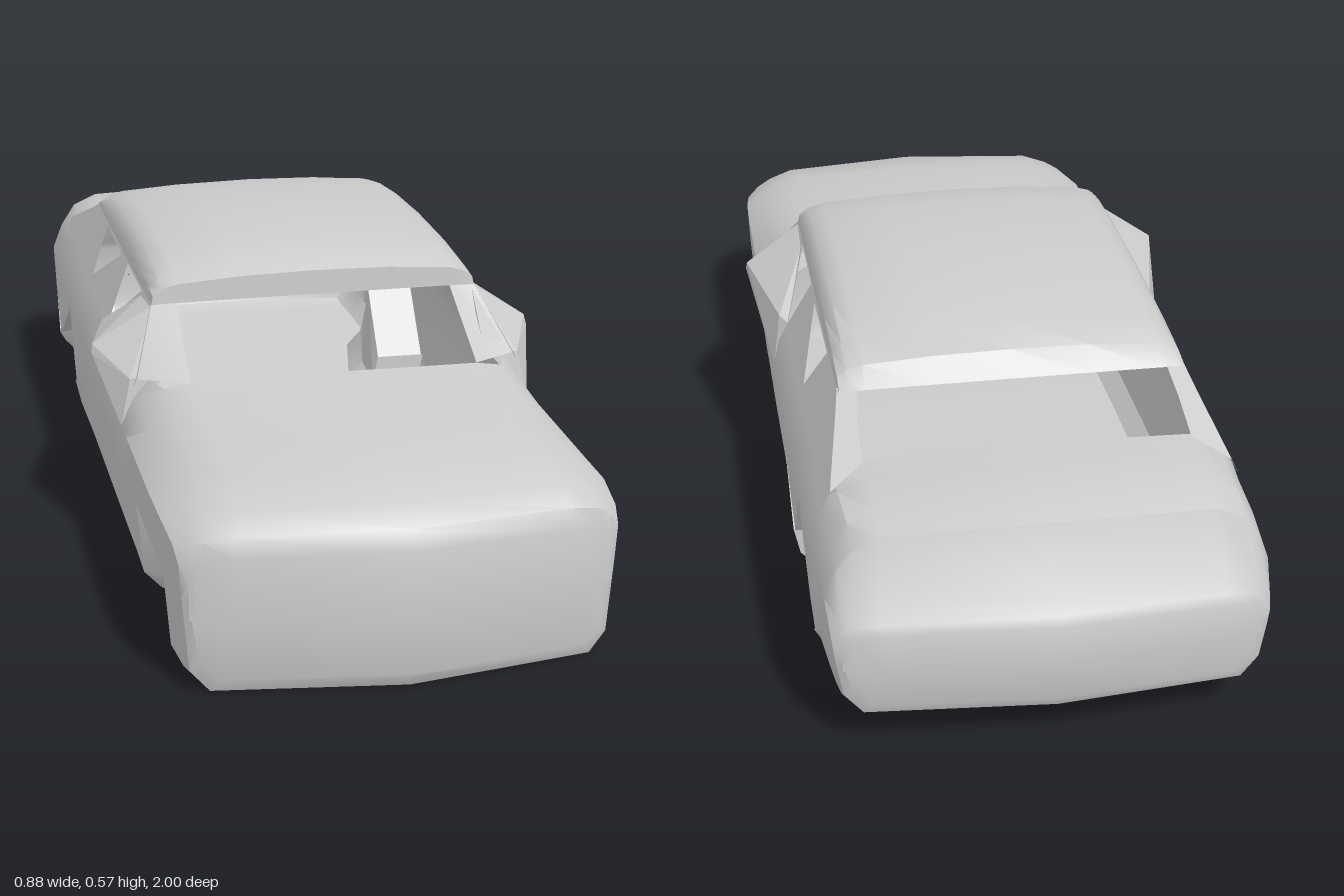
import * as THREE from 'three';
import { toCreasedNormals } from 'three/addons/utils/BufferGeometryUtils.js';
import { ConvexGeometry } from 'three/addons/geometries/ConvexGeometry.js';

const material = new THREE.MeshStandardMaterial({ color: 0xcccccc, side: THREE.DoubleSide });
const V = (x, y, z) => new THREE.Vector3(x, y, z);

function addMesh(group, name, geometry) {
  const mesh = new THREE.Mesh(geometry, material);
  mesh.name = name;
  group.add(mesh);
}

// Skin between successive cross-sections; skip(j, i) leaves a cell open
function loft(sections, closed, skip = () => false) {
  const out = [];
  const tri = (a, b, c) => {
    const area = b.clone().sub(a).cross(c.clone().sub(a)).length();
    if (area > 1e-7) for (const p of [a, b, c]) out.push(p.x, p.y, p.z);
  };
  for (let j = 0; j < sections.length - 1; j++) {
    const A = sections[j], B = sections[j + 1], n = A.length;
    for (let i = 0; i < (closed ? n : n - 1); i++) {
      if (skip(j, i)) continue;
      const k = (i + 1) % n;
      tri(A[i], B[i], B[k]);
      tri(A[i], B[k], A[k]);
    }
  }
  const g = new THREE.BufferGeometry();
  g.setAttribute('position', new THREE.Float32BufferAttribute(out, 3));
  return toCreasedNormals(g, 0.6);
}

// Each station: z, floor y, half width, shoulder y, top y, shoulder half width,
// then for wheel wells the inner half width and the ceiling height
const STATIONS = [
  [1.0, 0.03, 0.375, 0.245, 0.26, 0.35],
  [0.985, 0.005, 0.39, 0.28, 0.295, 0.35],
  [0.94, 0, 0.395, 0.305, 0.325, 0.34],
  [0.81, 0, 0.403, 0.325, 0.35, 0.33],
  [0.7, 0.002, 0.405, 0.335, 0.362, 0.33, 0.24, 0.18],
  [0.51, 0.006, 0.405, 0.355, 0.375, 0.33],
  [0.42, 0.01, 0.405, 0.37, 0.38, 0.33],
  [0.36, 0.013, 0.406, 0.37, 0.38, 0.35],
  [0.2, 0.016, 0.407, 0.37, 0.38, 0.375],
  [-0.2, 0.018, 0.407, 0.37, 0.38, 0.375],
  [-0.395, 0.02, 0.407, 0.37, 0.38, 0.375, 0.406, 0.11],
  [-0.4, 0.02, 0.407, 0.37, 0.38, 0.375, 0.3, 0.11],
  [-0.5, 0.03, 0.406, 0.375, 0.4, 0.375, 0.3, 0.245],
  [-0.68, 0.048, 0.404, 0.395, 0.427, 0.36, 0.34, 0.14],
  [-0.74, 0.054, 0.402, 0.395, 0.428, 0.35, 0.4, 0.11],
  [-0.86, 0.064, 0.397, 0.395, 0.425, 0.345],
  [-0.92, 0.068, 0.393, 0.37, 0.407, 0.345],
  [-0.968, 0.072, 0.388, 0.275, 0.29, 0.36],
  [-0.99, 0.08, 0.385, 0.25, 0.262, 0.36],
  [-1.0, 0.1, 0.37, 0.235, 0.245, 0.35],
];
const CABIN_START = 6, CABIN_END = 13;

// Ends curve backwards towards the corners
function bow(x, z) {
  const t = Math.max(0, (Math.abs(z) - 0.8) / 0.2);
  return z - Math.sign(z) * (z > 0 ? 0.075 : 0.045) * t * (x / 0.4) ** 2;
}

function bodyRing([z, y0, w, ys, yt, ws, inner, ceiling = 0.18]) {
  const side = w - 0.004, xin = inner ?? side;
  const waist = Math.min(0.28, ys - 0.04);
  const half = [
    [0, y0], [xin - 0.045, y0], [xin - 0.012, y0 + 0.035],
    [xin, ceiling], [side, ceiling], [w, waist],
    [w * 0.55 + ws * 0.45, waist + (ys - waist) * 0.6],
    [ws, ys], [ws * 0.85, ys + (yt - ys) * 0.75], [0, yt],
  ];
  const mirrored = half.slice(1, -1).reverse().map(([x, y]) => [-x, y]);
  return [...half, ...mirrored].map(([x, y]) => V(x, y, bow(x, z)));
}

// Half width of the upper cabin side, leaning inwards with height
const sideX = (y) => 0.325 + (0.48 - y) * 0.45;

function sidePanel(s) {
  const pts = (list) => list.map(([z, y]) => new THREE.Vector2(z, y));
  const shape = new THREE.Shape(pts([[0.36, 0.36], [0.36, 0.375], [0.24, 0.482],
    [-0.52, 0.482], [-0.6, 0.45], [-0.74, 0.395], [-0.74, 0.36]]));
  // Front and rear window openings
  shape.holes.push(new THREE.Path(pts([[0.13, 0.476], [-0.02, 0.372], [-0.06, 0.476]])));
  shape.holes.push(new THREE.Path(pts([[-0.14, 0.472], [-0.31, 0.382], [-0.365, 0.476]])));
  const g = new THREE.ShapeGeometry(shape);
  const p = g.attributes.position;
  for (let i = 0; i < p.count; i++) {
    const z = p.getX(i), y = p.getY(i);
    p.setXYZ(i, s * sideX(y), y, z);
  }
  // Keep the outside facing out on both sides
  if (s > 0) {
    const idx = g.index.array;
    for (let i = 0; i < idx.length; i += 3) [idx[i], idx[i + 1]] = [idx[i + 1], idx[i]];
  }
  g.computeVertexNormals();
  return g;
}

// Strip between an outer and an inner edge, mirrored by s
function pillar(s, outer, inner) {
  const edge = (list) => list.map(([x, y, z]) => V(s * x, y, z));
  return loft(s > 0 ? [edge(outer), edge(inner)] : [edge(inner), edge(outer)], false);
}

export function createModel() {
  const car = new THREE.Group();
  car.name = 'carBody';

  // Lower shell, closed at both ends and open on top along the cabin
  const rings = STATIONS.map(bodyRing);
  const cap = (ring, y) => ring.map((p) => V(p.x, y, p.z));
  const sections = [cap(rings[0], 0.14), ...rings, cap(rings.at(-1), 0.17)];
  addMesh(car, 'lowerBody', loft(sections, true, (j, i) =>
    j > CABIN_START && j <= CABIN_END && i >= 7 && i <= 10));

  // Domed roof with a short front lip
  const roofHalf = [[0.325, 0.48], [0.322, 0.51], [0.305, 0.537], [0.275, 0.553],
    [0.15, 0.57], [0, 0.575]];
  const roofProfile = [...roofHalf, ...roofHalf.slice(0, -1).reverse().map(([x, y]) => [-x, y])];
  const roofStations = [[0.245, 0.482], [0.243, 0.53], [0.2, 0.55], [0.1, 0.567], [-0.1, 0.575],
    [-0.28, 0.567], [-0.42, 0.547], [-0.5, 0.525], [-0.535, 0.482]];
  addMesh(car, 'roof', loft(roofStations.map(([z, top]) =>
    roofProfile.map(([x, y]) => V(x, 0.48 + (y - 0.48) * (top - 0.48) / 0.095, z))), false));

  for (const s of [1, -1]) {
    const label = s > 0 ? 'left' : 'right';
    addMesh(car, label + 'WindowFrame', sidePanel(s));
    addMesh(car, label + 'WindscreenPillar', pillar(s,
      [[0.372, 0.372, 0.36], [0.325, 0.482, 0.24]],
      [[0.28, 0.378, 0.42], [0.275, 0.482, 0.24]]));
    addMesh(car, label + 'RearPillar', pillar(s,
      [[0.325, 0.482, -0.52], [0.338, 0.45, -0.6], [0.363, 0.395, -0.74]],
      [[0.29, 0.485, -0.53], [0.297, 0.455, -0.6], [0.3, 0.42, -0.69]]));
    // Faceted mirror bulge at the front of the door
    addMesh(car, label + 'MirrorFairing', new ConvexGeometry([
      [0.32, 0.48, 0.24], [0.44, 0.402, 0.22], [0.442, 0.385, 0.23], [0.405, 0.28, 0.36],
      [0.406, 0.28, -0.02], [0.31, 0.39, 0.37], [0.385, 0.37, 0.35], [0.375, 0.372, -0.02],
      [0.328, 0.47, 0.14], [0.39, 0.38, 0.0],
    ].map(([x, y, z]) => V(s * x, y, z))));
  }
  return car;
}
